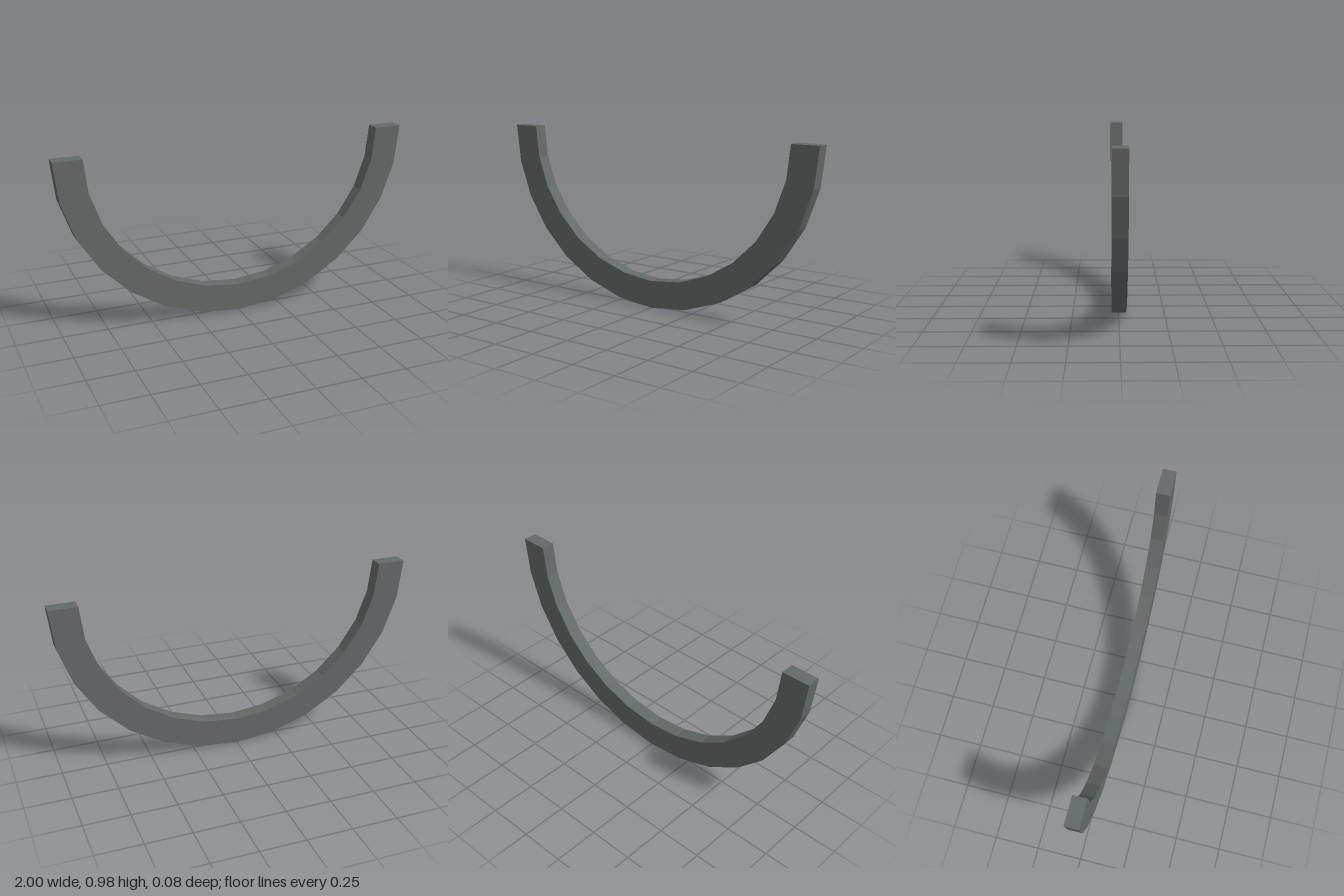
import * as THREE from 'three';

const SEGMENTS = 14;
const CENTRE_Y = 0.975;
const DEPTH = 0.076;

// Points along the lower half of an ellipse, from left (+x) to right (-x)
function lowerArc(rx, ry) {
  return Array.from({ length: SEGMENTS + 1 }, (_, i) => {
    const a = (i / SEGMENTS) * Math.PI;
    return new THREE.Vector2(rx * Math.cos(a), CENTRE_Y - ry * Math.sin(a));
  });
}

export function createModel() {
  const group = new THREE.Group();
  group.name = 'halfRing';

  const darkGrey = new THREE.MeshStandardMaterial({ color: 0x646a69 });
  darkGrey.name = 'darkGrey';
  darkGrey.flatShading = true;

  // Faceted U-shaped band with a square section and flat ends
  const outline = [...lowerArc(1, 0.975), ...lowerArc(0.845, 0.82).reverse()];
  const geometry = new THREE.ExtrudeGeometry(new THREE.Shape(outline), {
    depth: DEPTH,
    bevelEnabled: false,
  });
  geometry.translate(0, 0, -DEPTH / 2);

  const band = new THREE.Mesh(geometry, darkGrey);
  band.name = 'curvedBand';
  group.add(band);
  return group;
}
